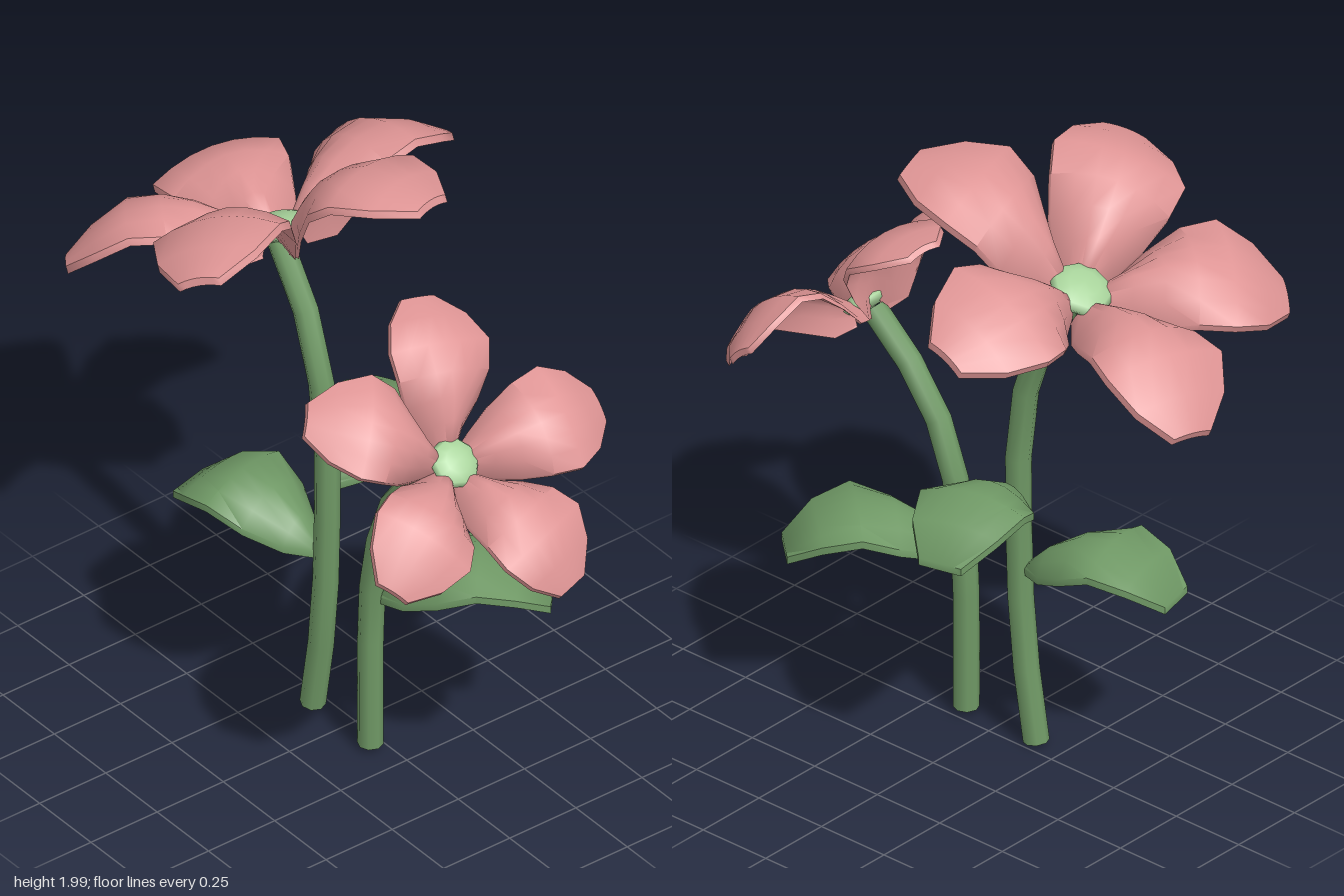
import * as THREE from 'three';
import { toCreasedNormals } from 'three/addons/utils/BufferGeometryUtils.js';

const STEM_Z = 0.045;

// Arched blade growing along +x. Each row: [distance, ridge height, half width, edge drop]
function bladeGeometry(rows, thickness) {
  const cols = 6, n = rows.length, count = n * (cols + 1);
  const pos = [], idx = [];
  for (const lower of [0, thickness]) {
    for (const [x, h, w, drop] of rows) {
      for (let j = 0; j <= cols; j++) {
        const s = (j / cols) * 2 - 1;
        pos.push(x, h - drop * s * s - lower, w * s);
      }
    }
  }
  const at = (i, j) => i * (cols + 1) + j;
  for (let i = 0; i < n - 1; i++) {
    for (let j = 0; j < cols; j++) {
      const a = at(i, j), b = at(i, j + 1), c = at(i + 1, j + 1), d = at(i + 1, j);
      idx.push(a, b, c, a, c, d);
      idx.push(a + count, c + count, b + count, a + count, d + count, c + count);
    }
  }
  // rim joining the upper and lower faces
  const loop = [];
  for (let j = 0; j < cols; j++) loop.push(at(0, j));
  for (let i = 0; i < n - 1; i++) loop.push(at(i, cols));
  for (let j = cols; j > 0; j--) loop.push(at(n - 1, j));
  for (let i = n - 1; i > 0; i--) loop.push(at(i, 0));
  loop.forEach((a, k) => {
    const b = loop[(k + 1) % loop.length];
    idx.push(a, a + count, b + count, a, b + count, b);
  });
  const geo = new THREE.BufferGeometry();
  geo.setAttribute('position', new THREE.Float32BufferAttribute(pos, 3));
  geo.setIndex(idx);
  return toCreasedNormals(geo, 0.9);
}

export function createModel() {
  const petalPink = new THREE.MeshStandardMaterial({ color: 0xdf9595 });
  const leafGreen = new THREE.MeshStandardMaterial({ color: 0x6f9865 });
  const centreGreen = new THREE.MeshStandardMaterial({ color: 0xa8d39b });
  petalPink.name = 'petalPink';
  leafGreen.name = 'leafGreen';
  centreGreen.name = 'centreGreen';

  const model = new THREE.Group();
  model.name = 'flowers';

  const add = (parent, name, geo, mat) => {
    const mesh = new THREE.Mesh(geo, mat);
    mesh.name = name;
    parent.add(mesh);
    return mesh;
  };

  // Petals fold deeply at the base and open out flat
  const petalGeo = bladeGeometry([
    [0.06, 0.03, 0.045, 0.06],
    [0.14, 0.105, 0.095, 0.13],
    [0.22, 0.16, 0.15, 0.11],
    [0.31, 0.195, 0.19, 0.07],
    [0.42, 0.205, 0.21, 0.05],
    [0.54, 0.155, 0.16, 0.035],
    [0.635, 0.09, 0.068, 0.01],
  ], 0.025);

  const leafGeo = bladeGeometry([
    [0.02, 0.01, 0.02, 0.01],
    [0.10, 0.09, 0.085, 0.07],
    [0.21, 0.155, 0.155, 0.075],
    [0.33, 0.175, 0.185, 0.04],
    [0.45, 0.12, 0.15, 0.02],
    [0.55, 0.03, 0.075, 0.0],
  ], 0.025);

  // Curved stem with a closed foot
  function addStem(name, points) {
    const curve = new THREE.CatmullRomCurve3(points.map(([x, y]) => new THREE.Vector3(x, y, STEM_Z)));
    add(model, name, new THREE.TubeGeometry(curve, 7, 0.04, 8), leafGreen);
    const foot = add(model, name + 'Foot', new THREE.CircleGeometry(0.04, 8), leafGreen);
    foot.position.copy(curve.getPoint(0));
    foot.lookAt(foot.position.clone().sub(curve.getTangent(0)));
  }

  // Five petals around a flattened centre, leaning sideways
  function addFlower(name, x, y, tilt, scale, backAngle) {
    const flower = new THREE.Group();
    flower.name = name;
    flower.position.set(x, y, 0.035);
    flower.rotation.z = THREE.MathUtils.degToRad(tilt);
    flower.scale.setScalar(scale);
    for (const angle of [backAngle, -16, 56, 126, 194]) {
      const petal = add(flower, 'petal', petalGeo, petalPink);
      petal.rotation.y = -THREE.MathUtils.degToRad(angle);
    }
    const centre = add(flower, 'flowerCentre', new THREE.SphereGeometry(0.1, 10, 6), centreGreen);
    centre.scale.y = 0.4;
    centre.position.y = 0.02;
    model.add(flower);
  }

  function addLeaf(name, x, y, angle, scale) {
    const leaf = add(model, name, leafGeo, leafGreen);
    leaf.position.set(x, y, STEM_Z);
    leaf.rotation.y = -THREE.MathUtils.degToRad(angle);
    leaf.scale.setScalar(scale);
  }

  // Tall flower
  addStem('tallStem', [[-0.15, 0.005], [-0.10, 0.33], [-0.08, 0.73], [-0.09, 1.1], [-0.17, 1.4], [-0.32, 1.63]]);
  addFlower('tallFlower', -0.33, 1.63, 25, 1, -90);
  addLeaf('tallLowerLeaf', -0.09, 0.595, 166, 0.95);
  addLeaf('tallUpperLeaf', -0.09, 0.84, -104, 0.95);

  // Short flower
  addStem('shortStem', [[0.13, 0.015], [0.13, 0.3], [0.14, 0.6], [0.21, 0.9], [0.32, 1.08], [0.5, 1.25]]);
  addFlower('shortFlower', 0.515, 1.26, -41.5, 0.8, -87);
  addLeaf('shortLeaf', 0.14, 0.575, -48, 0.98);

  return model;
}
